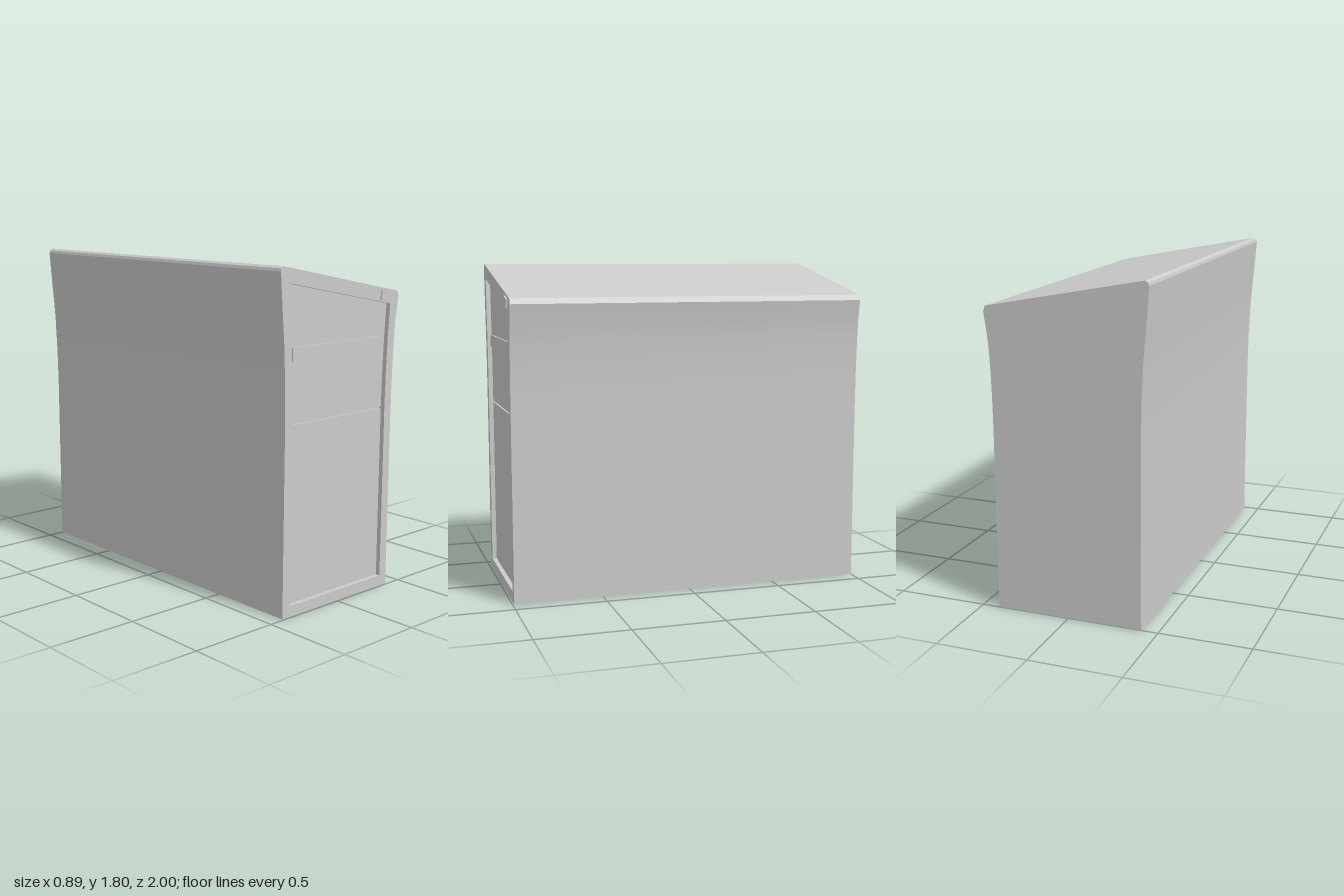
import * as THREE from 'three';
import { toCreasedNormals } from 'three/addons/utils/BufferGeometryUtils.js';

const FRONT = 0.99, BACK = -1, PANEL = 0.965, BACKING = 0.955;

// Outline of the case, from the bottom left up, over the sloping top and down; the bottom stays open
const outline = [
  [-0.408, 0], [-0.406, 1.0], [-0.409, 1.2], [-0.417, 1.4], [-0.425, 1.5], [-0.435, 1.62], [-0.447, 1.78],
  [-0.442, 1.795], [-0.425, 1.805],
  [0.432, 1.635], [0.442, 1.605],
  [0.426, 1.5], [0.416, 1.4], [0.408, 1.2], [0.405, 1.0], [0.405, 0],
];
// Opening in the front, split at the seam between the two panels
const upperPanel = [
  [-0.355, 1.015], [-0.358, 1.2], [-0.365, 1.4], [-0.374, 1.55], [-0.386, 1.72],
  [0.376, 1.57], [0.364, 1.4], [0.356, 1.2], [0.353, 1.015],
];
const lowerPanel = [[-0.355, 0.058], [-0.355, 1.003], [0.353, 1.003], [0.353, 0.058]];
const opening = [lowerPanel[0], ...upperPanel, lowerPanel[3]];

const toVectors = (points) => points.map(([x, y]) => new THREE.Vector2(x, y));
const toShape = (points) => new THREE.Shape(toVectors(points));

// Sheet swept along z over a row of points
function sweep(points, z0, z1) {
  const positions = [];
  for (let i = 0; i < points.length - 1; i++) {
    const [ax, ay] = points[i];
    const [bx, by] = points[i + 1];
    positions.push(ax, ay, z0, ax, ay, z1, bx, by, z1, ax, ay, z0, bx, by, z1, bx, by, z0);
  }
  const geometry = new THREE.BufferGeometry();
  geometry.setAttribute('position', new THREE.Float32BufferAttribute(positions, 3));
  return toCreasedNormals(geometry, 0.35);
}

export function createModel() {
  const group = new THREE.Group();
  const material = new THREE.MeshStandardMaterial({ color: 0xcccccc, side: THREE.DoubleSide });

  function add(name, geometry, x = 0, y = 0, z = 0) {
    const mesh = new THREE.Mesh(geometry, material);
    mesh.name = name;
    mesh.position.set(x, y, z);
    group.add(mesh);
    return mesh;
  }

  // Thin shell: sides and top, back wall
  add('sidesAndTop', sweep(outline, BACK, FRONT));
  add('backWall', new THREE.ShapeGeometry(toShape(outline)), 0, 0, BACK);

  // Front frame around the recessed opening
  const frame = toShape(outline);
  frame.holes.push(new THREE.Path(toVectors(opening)));
  add('frontFrame', new THREE.ShapeGeometry(frame), 0, 0, FRONT);
  add('openingRim', sweep([...opening, opening[0]], BACKING, FRONT));
  add('openingBacking', new THREE.ShapeGeometry(toShape(opening)), 0, 0, BACKING);

  // Two panels with a narrow seam between them
  for (const [name, points] of [['upperPanel', upperPanel], ['lowerPanel', lowerPanel]]) {
    const geometry = new THREE.ExtrudeGeometry(toShape(points), { depth: PANEL - BACKING, bevelEnabled: false });
    add(name, geometry, 0, 0, BACKING);
  }

  // Drive cover, slightly raised on the upper panel
  add('driveCover', new THREE.BoxGeometry(0.685, 0.07, 0.012), 0, 1.363, PANEL + 0.004);

  // Power button, tilted with the sloping top
  const button = add('powerButton', new THREE.BoxGeometry(0.084, 0.05, 0.02), 0.338, 1.613, FRONT);
  button.rotation.z = -0.195;

  return group;
}
